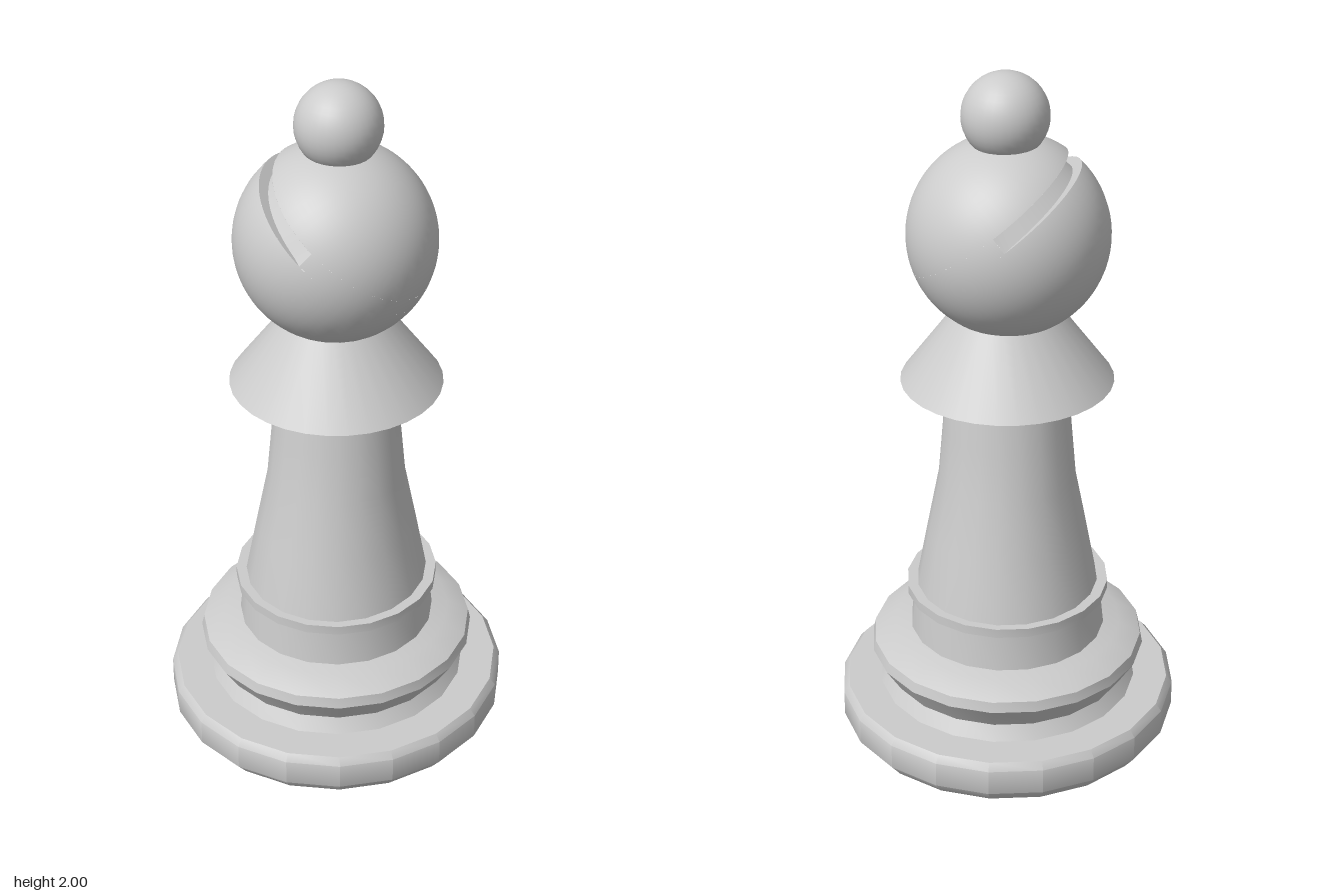
import * as THREE from 'three';
import { toCreasedNormals } from 'three/addons/utils/BufferGeometryUtils.js';

const material = new THREE.MeshStandardMaterial({ color: 0xcccccc });

function add(parent, name, geometry, mat = material) {
  const mesh = new THREE.Mesh(geometry, mat);
  mesh.name = name;
  parent.add(mesh);
  return mesh;
}

// Turned part from [radius, height] pairs, listed bottom to top
function turned(parent, name, profile, segments = 20, crease = 0.7) {
  const points = profile.map(([r, y]) => new THREE.Vector2(r, y));
  return add(parent, name, toCreasedNormals(new THREE.LatheGeometry(points, segments), crease));
}

// Shallow crescent groove: two walls and a floor, deepest at its middle
function grooveGeometry(radius, upper, lower, halfAngle, depth) {
  const steps = 32, positions = [], index = [];
  for (let i = 0; i <= steps; i++) {
    const a = halfAngle * (2 * i / steps - 1);
    const d = depth * Math.sqrt(Math.max(0, Math.cos(a / halfAngle * Math.PI / 2)));
    for (const [h, cut] of [[upper, 0], [upper, d], [lower, d], [lower, 0]]) {
      const r = Math.sqrt(radius * radius - h * h) - cut;
      positions.push(-r * Math.cos(a), h, r * Math.sin(a));
    }
  }
  for (let i = 0; i < steps; i++) {
    for (let j = 0; j < 3; j++) {
      const p = i * 4 + j, q = p + 4;
      index.push(p, p + 1, q, q, p + 1, q + 1);
    }
  }
  const geometry = new THREE.BufferGeometry();
  geometry.setAttribute('position', new THREE.Float32BufferAttribute(positions, 3));
  geometry.setIndex(index);
  return toCreasedNormals(geometry, 0.6);
}

export function createModel() {
  const model = new THREE.Group();
  model.name = 'chessBishop';

  // Stepped foot, slightly deeper than wide
  const foot = new THREE.Group();
  foot.name = 'foot';
  foot.scale.z = 1.03;
  model.add(foot);
  turned(foot, 'base', [[0, 0], [0.46, 0], [0.492, 0.04], [0.492, 0.115], [0.475, 0.135], [0, 0.135]]);
  turned(foot, 'baseNeck', [[0.38, 0.13], [0.345, 0.185]]);
  turned(foot, 'baseRing', [[0, 0.178], [0.355, 0.178], [0.4, 0.25], [0.393, 0.28], [0.33, 0.314], [0, 0.314]]);
  turned(foot, 'stemFoot', [[0.284, 0.31], [0.27, 0.44]]);
  turned(foot, 'stemRing', [[0, 0.43], [0.293, 0.43], [0.293, 0.457], [0, 0.457]]);

  // Stem, flattening front to back as it rises
  const stem = turned(model, 'stem', [[0.264, 0.45], [0.23, 0.63], [0.197, 0.8], [0.184, 0.95], [0.17, 1.12]]);
  const p = stem.geometry.attributes.position;
  for (let i = 0; i < p.count; i++) {
    p.setZ(i, p.getZ(i) * (1.06 - 0.5 * (p.getY(i) - 0.46) ** 2));
  }
  stem.geometry = toCreasedNormals(stem.geometry, 0.7);

  // Flared collar under the head
  turned(model, 'collar', [[0, 1.105], [0.3, 1.105], [0.145, 1.315], [0, 1.315]], 32);

  // Round head tilted so that its axis is square to the groove
  const head = new THREE.Group();
  head.name = 'head';
  head.position.set(-0.004, 1.54, -0.005);
  head.rotation.z = -0.67;
  model.add(head);
  const R = 0.28, upper = 0.082, lower = 0.035, half = 1.39;
  const t1 = Math.acos(upper / R), t2 = Math.acos(lower / R);
  add(head, 'headCrown', new THREE.SphereGeometry(R, 48, 16, 0, Math.PI * 2, 0, t1));
  add(head, 'headLower', new THREE.SphereGeometry(R, 48, 20, 0, Math.PI * 2, t2, Math.PI - t2));
  add(head, 'headBand', new THREE.SphereGeometry(R, 32, 3, half, Math.PI * 2 - 2 * half, t1, t2 - t1));
  const inside = material.clone();
  inside.side = THREE.DoubleSide;
  add(head, 'headGroove', grooveGeometry(R, upper, lower, half, 0.032), inside);

  // Ball on top
  add(model, 'finial', new THREE.SphereGeometry(0.12, 32, 20)).position.set(0.004, 1.88, -0.008);

  return model;
}
